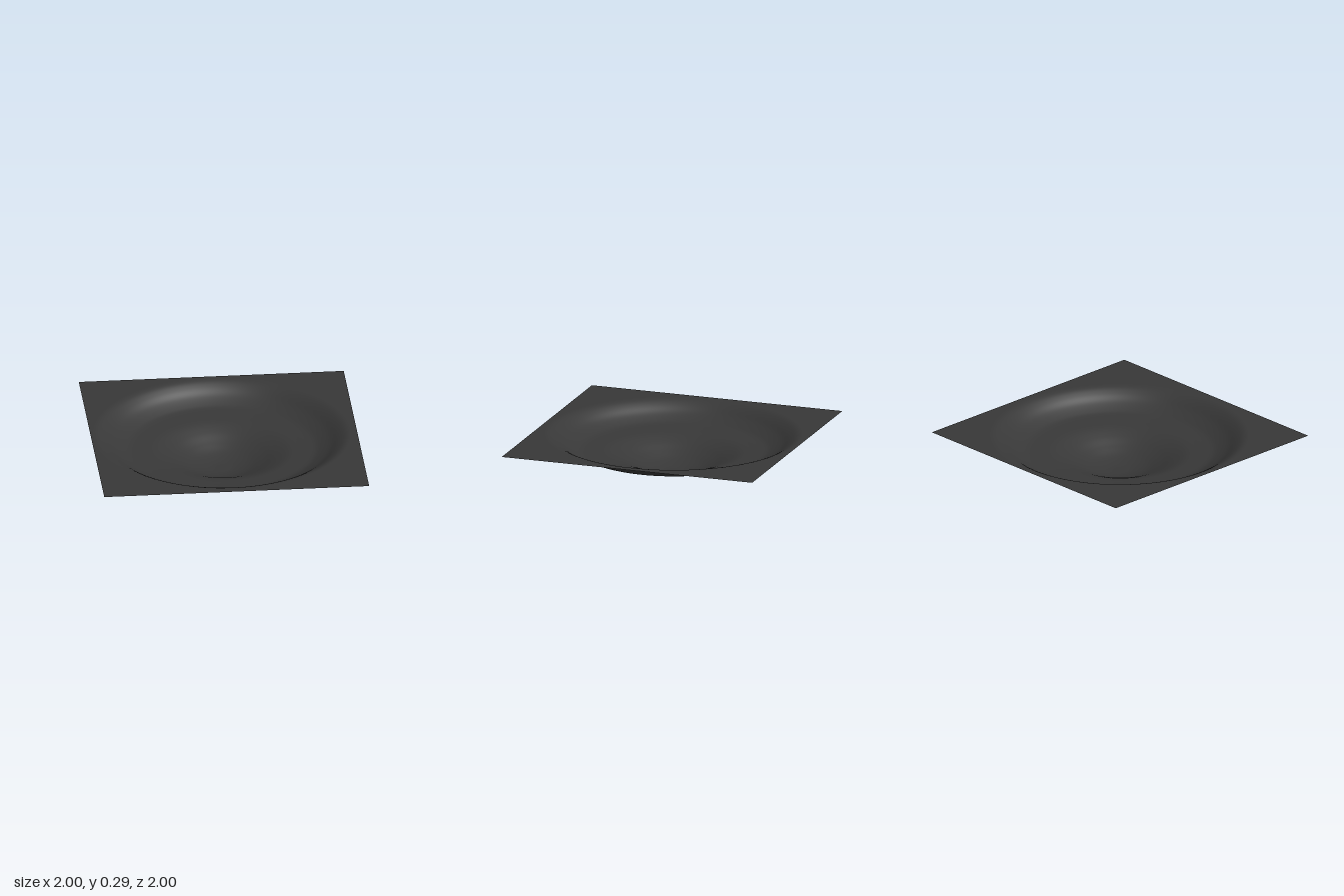
import * as THREE from 'three';

// Radial height profile of the stepped basin: [radius, height]
const PROFILE = [
  [0, 0.002], [0.09, 0.004], [0.2, 0.027], [0.3, 0.065], [0.4, 0.108],
  [0.5, 0.14], [0.6, 0.151], [0.69, 0.16], [0.74, 0.176], [0.81, 0.21],
  [0.87, 0.25], [0.92, 0.277], [0.96, 0.287], [1.0, 0.287], [1.6, 0.287],
];
const CENTRE = -0.012; // the basin sits slightly off the sheet's middle

function makeHeight() {
  const curve = new THREE.SplineCurve(PROFILE.map(([r, y]) => new THREE.Vector2(r, y)));
  const pts = curve.getPoints(280);
  return (r) => {
    const i = pts.findIndex((p) => p.x >= r);
    if (i < 0) return 0.287;
    if (i === 0) return pts[0].y;
    const a = pts[i - 1], b = pts[i];
    const y = a.y + (b.y - a.y) * (r - a.x) / (b.x - a.x);
    return THREE.MathUtils.clamp(y, 0, 0.287);
  };
}

export function createModel() {
  const group = new THREE.Group();
  group.name = 'sunkenTerrain';

  // Square sheet pressed down into a two-level round basin
  const height = makeHeight();
  const geometry = new THREE.PlaneGeometry(2, 2, 128, 128).rotateX(-Math.PI / 2);
  const pos = geometry.attributes.position;
  for (let i = 0; i < pos.count; i++) {
    pos.setY(i, height(Math.hypot(pos.getX(i) - CENTRE, pos.getZ(i) - CENTRE)));
  }
  geometry.computeVertexNormals();

  const material = new THREE.MeshStandardMaterial({ color: 0x383838, side: THREE.DoubleSide });
  const sheet = new THREE.Mesh(geometry, material);
  sheet.name = 'basinSheet';
  group.add(sheet);
  return group;
}
